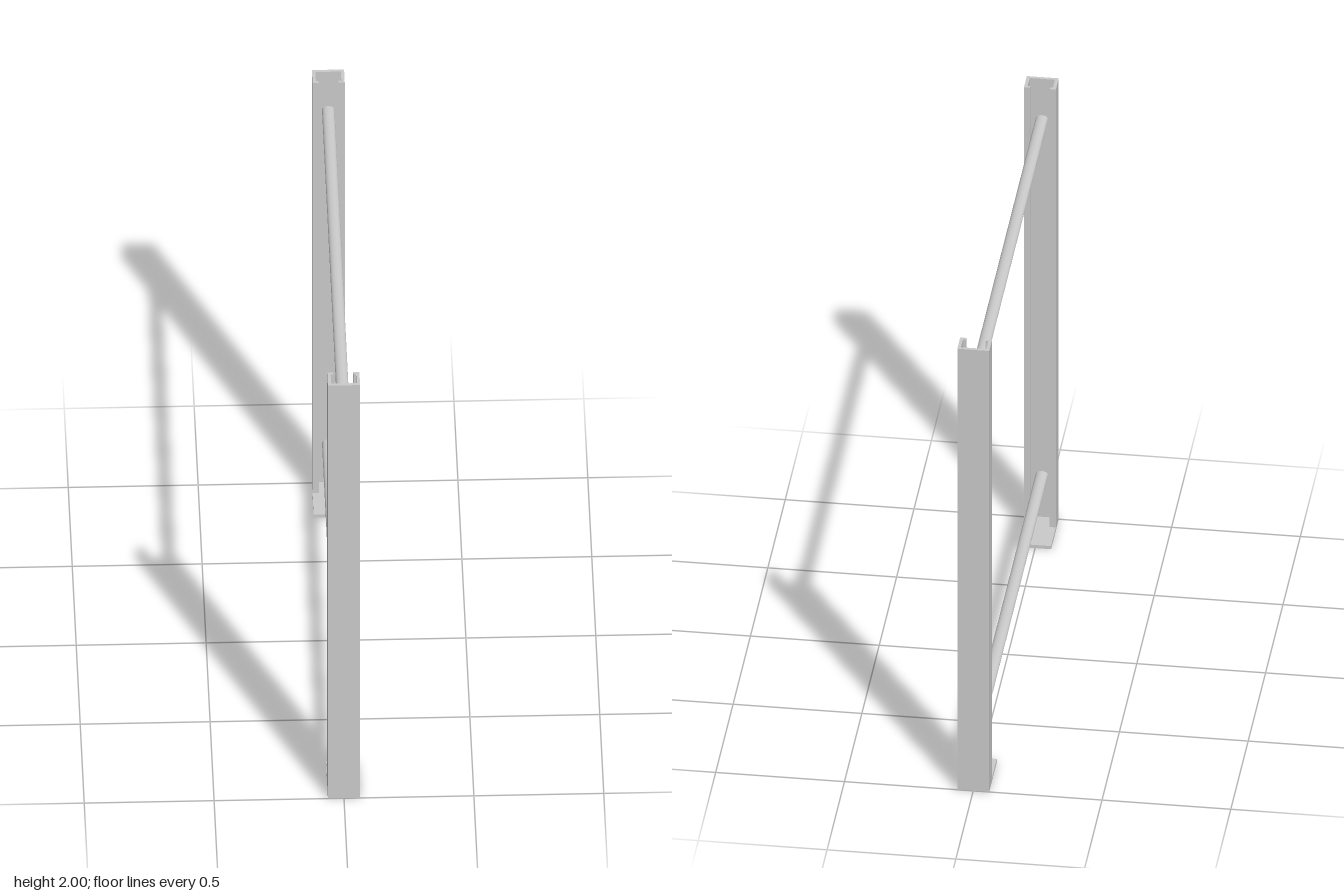
import * as THREE from 'three';

const HALF_W = 0.062, DEPTH = 0.083, WALL = 0.013, LIP = 0.038;
const PLATE_H = 0.014, PLATE_D = 0.22;

export function createModel() {
  const model = new THREE.Group();
  model.name = 'ladderFrame';
  const material = new THREE.MeshStandardMaterial({ color: 0xcccccc });

  // Lipped C-channel section: y = 0 is the outer web, opening towards +y
  const half = [
    [HALF_W, 0], [HALF_W, DEPTH], [LIP, DEPTH], [LIP, DEPTH - WALL],
    [HALF_W - WALL, DEPTH - WALL], [HALF_W - WALL, WALL],
  ];
  const mirrored = half.map(([x, y]) => [-x, y]).reverse();
  const section = new THREE.Shape([...half, ...mirrored].map(([x, y]) => new THREE.Vector2(x, y)));
  const postGeometry = new THREE.ExtrudeGeometry(section, { depth: 2 - PLATE_H, bevelEnabled: false });
  postGeometry.rotateX(-Math.PI / 2).translate(0, PLATE_H, 1);

  const plateGeometry = new THREE.BoxGeometry(HALF_W * 2, PLATE_H, PLATE_D);
  plateGeometry.translate(0, PLATE_H / 2, 1 - PLATE_D / 2);

  // Upright and foot plate at each end, openings facing each other
  for (const [name, turn] of [['front', 0], ['back', Math.PI]]) {
    const upright = new THREE.Group();
    upright.name = name + 'Upright';
    upright.rotation.y = turn;
    const post = new THREE.Mesh(postGeometry, material);
    post.name = name + 'Post';
    const plate = new THREE.Mesh(plateGeometry, material);
    plate.name = name + 'FootPlate';
    upright.add(post, plate);
    model.add(upright);
  }

  // Flattened oval rails joining the uprights
  const railGeometry = new THREE.CylinderGeometry(1, 1, 1.95, 32);
  railGeometry.rotateX(Math.PI / 2).scale(0.024, 0.016, 1);
  for (const [name, y] of [['lowerRail', 0.213], ['upperRail', 1.827]]) {
    const rail = new THREE.Mesh(railGeometry, material);
    rail.name = name;
    rail.position.y = y;
    model.add(rail);
  }
  return model;
}
